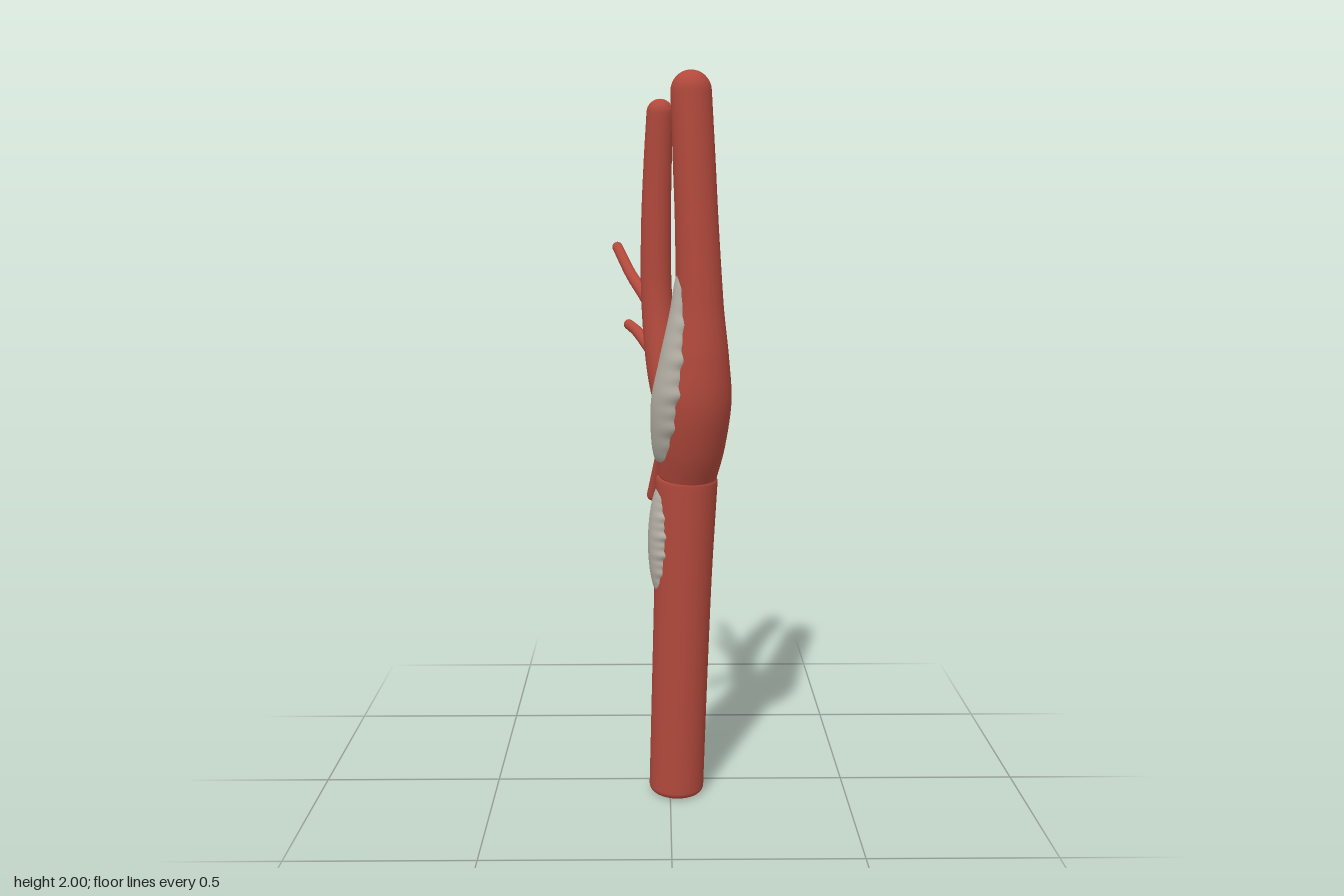
import * as THREE from 'three';
import { ParametricGeometry } from 'three/addons/geometries/ParametricGeometry.js';

const SIDES = 40;

// Spine and interpolated radius from stations [x, y, z, radius]
function makeSpine(stations) {
  const curve = new THREE.CatmullRomCurve3(stations.map(s => new THREE.Vector3(s[0], s[1], s[2])));
  const radii = new THREE.CatmullRomCurve3(stations.map((s, i) => new THREE.Vector3(i, s[3], 0)));
  return { curve, radius: t => radii.getPoint(t).y };
}

// Tapered tube with rounded ends; bevels are fractions of the end radius
function vesselGeometry(stations, startBevel = 1, endBevel = 1, steps = 60) {
  const { curve, radius } = makeSpine(stations);
  const rings = [];
  const cap = (t, bevel, sign) => {
    const c = curve.getPoint(t), d = curve.getTangent(t).multiplyScalar(sign);
    const r = radius(t), b = r * bevel, list = [];
    for (let k = 1; k <= 8; k++) {
      const a = k / 8 * Math.PI / 2;
      list.push({ c: c.clone().addScaledVector(d, b * Math.sin(a)), r: r - b + b * Math.cos(a), t });
    }
    const tip = list[7];
    if (bevel < 1) list.push({ ...tip, r: tip.r * 0.9 });
    list.push({ ...tip, r: 0 });
    return list;
  };
  rings.push(...cap(0, startBevel, -1).reverse());
  for (let i = 0; i <= steps; i++) rings.push({ c: curve.getPoint(i / steps), r: radius(i / steps), t: i / steps });
  rings.push(...cap(1, endBevel, 1));

  const pos = [], index = [];
  const side = new THREE.Vector3(0, 0, 1), up = new THREE.Vector3();
  rings.forEach((ring, i) => {
    const tan = curve.getTangent(ring.t);
    side.addScaledVector(tan, -side.dot(tan)).normalize();
    up.crossVectors(tan, side);
    for (let j = 0; j < SIDES; j++) {
      const a = j / SIDES * Math.PI * 2;
      const p = ring.c.clone().addScaledVector(side, ring.r * Math.cos(a)).addScaledVector(up, ring.r * Math.sin(a));
      pos.push(p.x, p.y, p.z);
      if (i === 0) continue;
      const k = (j + 1) % SIDES, lo = (i - 1) * SIDES, hi = i * SIDES;
      index.push(lo + j, lo + k, hi + j, lo + k, hi + k, hi + j);
    }
  });
  const g = new THREE.BufferGeometry();
  g.setAttribute('position', new THREE.Float32BufferAttribute(pos, 3));
  g.setIndex(index);
  g.computeVertexNormals();
  return g;
}

// Swollen patch on a vessel wall; angles run from -x towards +z
function plaqueGeometry(stations, y0, y1, midAngle, halfAngle, height, peak) {
  const { curve, radius } = makeSpine(stations);
  const table = Array.from({ length: 201 }, (_, i) => curve.getPoint(i / 200));
  return new ParametricGeometry((u, v, target) => {
    const y = y0 + (y1 - y0) * v;
    let i = table.findIndex(p => p.y >= y);
    if (i < 1) i = 1;
    const f = (y - table[i - 1].y) / (table[i].y - table[i - 1].y);
    const c = table[i - 1].clone().lerp(table[i], f);
    const s = u * 2 - 1, w = Math.pow(v, peak);
    const along = Math.pow(Math.max(0, Math.sin(Math.PI * w)), 0.45);
    const across = Math.sqrt(Math.max(0, 1 - s * s));
    const ripple = 1 + 0.05 * Math.sin(v * 37) + 0.04 * Math.sin(v * 71);
    const a = midAngle + s * halfAngle * (0.35 + 0.65 * along) * ripple;
    const r = radius((i - 1 + f) / 200) - 0.012 + (height + 0.012) * along * across;
    target.set(c.x - r * Math.cos(a), y, c.z + r * Math.sin(a));
  }, 28, 70);
}

export function createModel() {
  const group = new THREE.Group();
  const vesselRed = new THREE.MeshStandardMaterial({ color: 0xb2493c });
  vesselRed.name = 'vessel red';
  const plaqueGrey = new THREE.MeshStandardMaterial({ color: 0xb5b0a5, side: THREE.DoubleSide });
  plaqueGrey.name = 'plaque grey';
  const add = (name, geometry, material) => {
    const mesh = new THREE.Mesh(geometry, material);
    mesh.name = name;
    group.add(mesh);
  };

  // Main trunk
  const trunk = [[0.018, 0.025, 0.077, 0.077], [0.027, 0.35, 0.084, 0.078],
    [0.036, 0.65, 0.09, 0.08], [0.045, 0.915, 0.096, 0.085]];
  add('commonTrunk', vesselGeometry(trunk, 0.25, 0.25), vesselRed);

  // Front branch with its bulb
  const front = [[0.046, 0.945, 0.1, 0.084], [0.057, 1.03, 0.13, 0.092], [0.067, 1.15, 0.16, 0.096],
    [0.073, 1.26, 0.178, 0.082], [0.075, 1.4, 0.187, 0.064], [0.068, 1.6, 0.19, 0.057],
    [0.06, 1.78, 0.188, 0.055], [0.052, 1.947, 0.185, 0.053]];
  add('frontBranch', vesselGeometry(front, 0.25, 1, 80), vesselRed);

  // Rear branch
  const rear = [[0.034, 0.98, 0.05, 0.04], [0.014, 1.08, 0.037, 0.048], [-0.014, 1.2, 0.014, 0.048],
    [-0.036, 1.4, -0.011, 0.043], [-0.038, 1.6, -0.006, 0.041], [-0.033, 1.78, 0.006, 0.038],
    [-0.027, 1.904, 0.017, 0.036]];
  add('rearBranch', vesselGeometry(rear), vesselRed);

  // Small side branches
  const twigs = {
    upperTwig: [[-0.045, 1.37, -0.03, 0.019], [-0.07, 1.41, -0.085, 0.018],
      [-0.11, 1.465, -0.165, 0.016], [-0.15, 1.54, -0.237, 0.015]],
    middleTwig: [[-0.03, 1.23, -0.02, 0.019], [-0.06, 1.268, -0.085, 0.018],
      [-0.092, 1.3, -0.165, 0.016], [-0.118, 1.315, -0.237, 0.015]],
    lowerTwig: [[0.025, 1.0, 0.02, 0.026], [0.004, 1.012, -0.03, 0.022],
      [-0.015, 0.975, -0.075, 0.02], [-0.033, 0.9, -0.11, 0.018], [-0.049, 0.825, -0.138, 0.017]],
  };
  for (const [name, stations] of Object.entries(twigs)) add(name, vesselGeometry(stations, 1, 1, 24), vesselRed);

  // Wall deposits
  add('lowerPlaque', plaqueGeometry(trunk, 0.6, 0.905, 0.17, 0.72, 0.02, 1), plaqueGrey);
  add('upperPlaque', plaqueGeometry(front, 0.97, 1.5, 0.22, 0.85, 0.024, 0.7), plaqueGrey);

  return group;
}
